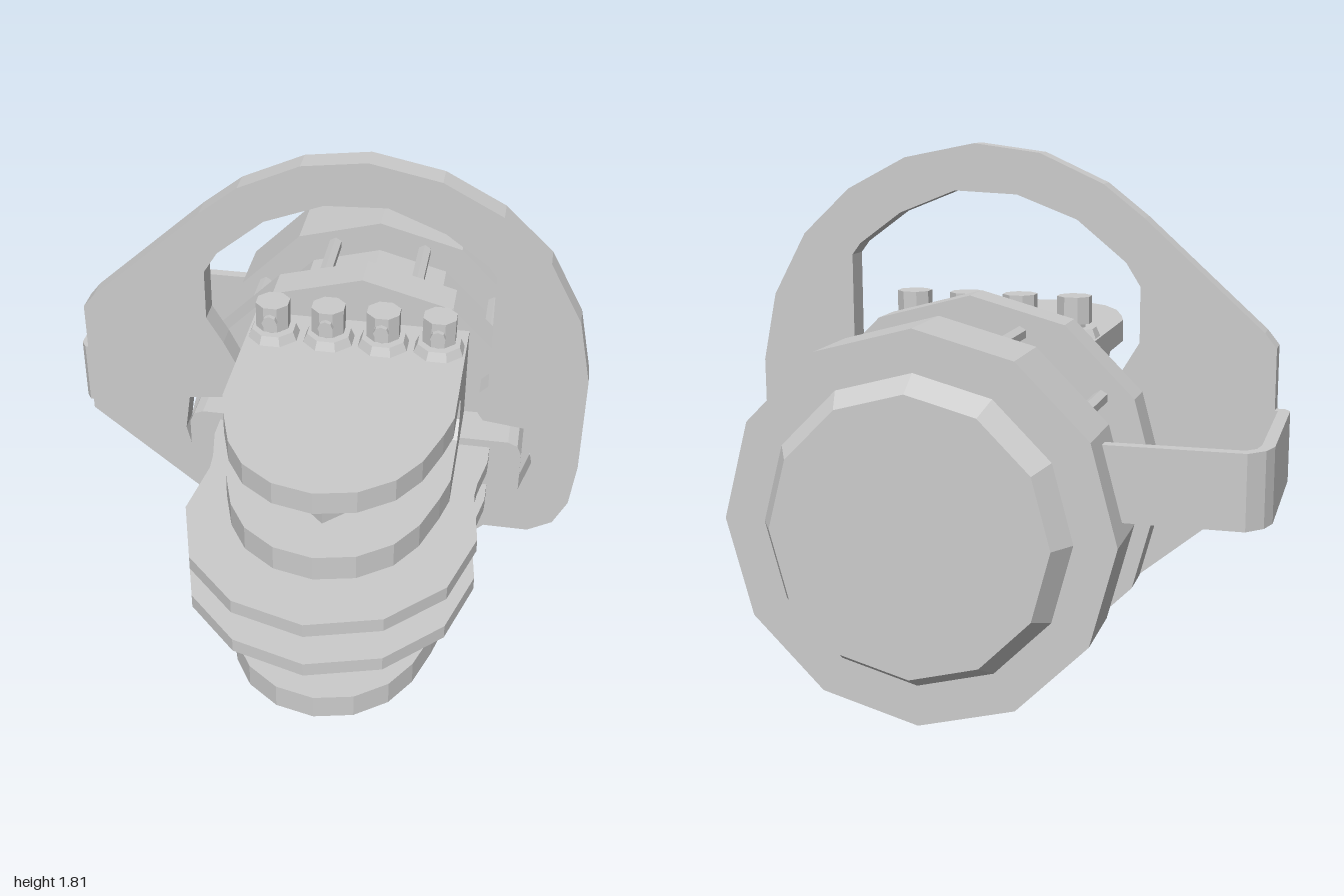
import * as THREE from 'three';

const CX = 0.115, CY = 0.655; // main axis of the drum

export function createModel() {
  const root = new THREE.Group();
  const mat = new THREE.MeshStandardMaterial({ color: 0xcccccc, flatShading: true });

  const add = (name, geo, x = 0, y = 0, z = 0, parent = root) => {
    const m = new THREE.Mesh(geo, mat);
    m.name = name;
    m.position.set(x, y, z);
    parent.add(m);
    return m;
  };
  const group = (name) => {
    const g = new THREE.Group();
    g.name = name;
    root.add(g);
    return g;
  };
  const extrude = (pts, depth) => new THREE.ExtrudeGeometry(
    new THREE.Shape(pts.map(p => new THREE.Vector2(p[0], p[1]))), { depth, bevelEnabled: false });
  // outline in (x, z), extruded upwards
  const slab = (pts, h) => extrude(pts.map(([x, z]) => [x, -z]), h).rotateX(-Math.PI / 2);
  // drum section along z between z0 (front) and z1 (back)
  const drum = (name, rFront, rBack, z0, z1) =>
    add(name, new THREE.CylinderGeometry(rFront, rBack, z0 - z1, 12).rotateX(Math.PI / 2), CX, CY, (z0 + z1) / 2);
  // half outline mirrored about the drum axis
  const mirrored = half => [
    ...half.map(([dx, z]) => [CX + dx, z]),
    ...half.slice().reverse().filter(p => p[0] > 0).map(([dx, z]) => [CX - dx, z])];

  // Drum
  drum('frontFlange', 0.655, 0.655, -0.19, -0.33);
  drum('drumCore', 0.52, 0.52, -0.32, -0.67);
  drum('rearDrum', 0.635, 0.635, -0.66, -0.92);
  drum('rearCap', 0.5, 0.45, -0.92, -1);

  // Tie rods around the core
  const rods = group('tieRods');
  for (let i = 0; i < 10; i++) {
    const a = i * Math.PI / 5;
    add('tieRod', new THREE.CylinderGeometry(0.026, 0.026, 0.36, 6).rotateX(Math.PI / 2),
      CX + 0.56 * Math.cos(a), CY + 0.56 * Math.sin(a), -0.495, rods);
  }

  // Loop-shaped handle plate
  add('handlePlate', extrude([
    [-0.9, 0.7], [-0.9, 1.15], [-0.86, 1.2], [-0.45, 1.57], [-0.31, 1.68], [-0.09, 1.78], [0.14, 1.81],
    [0.39, 1.76], [0.6, 1.65], [0.77, 1.49], [0.89, 1.27], [0.94, 1.03], [0.94, 0.65], [0.92, 0.48],
    [0.87, 0.38], [0.78, 0.33], [0.58, 0.33], [0.56, 0.36], [0.56, 0.47], [0.59, 0.5], [0.73, 0.52],
    [0.77, 0.65], [0.74, 0.8], [0.58, 0.82], [0.56, 0.85], [0.56, 0.94], [0.59, 0.97], [0.59, 1.42],
    [0.56, 1.46], [0.41, 1.57], [0.21, 1.65], [-0.01, 1.64], [-0.22, 1.56], [-0.39, 1.42], [-0.44, 1.34],
    [-0.44, 1.15], [-0.38, 1.05], [-0.33, 0.95], [-0.34, 0.83], [-0.36, 0.81], [-0.52, 0.79], [-0.54, 0.65],
    [-0.51, 0.52], [-0.36, 0.5], [-0.33, 0.47], [-0.33, 0.33], [-0.45, 0.33],
  ], 0.09), 0, 0, -0.19);

  // Bent strap from the plate to the rear drum
  add('sideStrap', slab([
    [-0.88, -0.15], [-0.93, -0.15], [-0.95, -0.18], [-0.95, -0.69], [-0.93, -0.75], [-0.88, -0.8],
    [-0.44, -0.8], [-0.44, -0.76], [-0.87, -0.76], [-0.9, -0.73], [-0.91, -0.68], [-0.91, -0.19], [-0.88, -0.19],
  ], 0.24), 0, 0.7, 0);

  // Four narrow fins
  const fin = mirrored([[0.39, -0.2], [0.39, 0.35], [0.365, 0.45], [0.315, 0.6], [0.245, 0.71], [0.135, 0.79], [0, 0.82]]);
  const fins = group('fins');
  for (const [y0, y1] of [[0.16, 0.25], [0.43, 0.53], [0.79, 0.88], [1.06, 1.14]])
    add('fin', slab(fin, y1 - y0), 0, y0, 0, fins);

  // Chamfered webs joining each pair of fins at the back
  for (const [y0, y1] of [[0.25, 0.43], [0.88, 1.06]]) {
    const web = extrude([[0.2, y0], [-0.12, y0], [-0.06, y0 + 0.05], [-0.06, y1 - 0.05], [-0.12, y1], [0.2, y1]], 0.78);
    add('finWeb', web.rotateY(Math.PI / 2), CX - 0.39, 0, 0, fins);
  }

  // Two longer waisted plates
  const plate = mirrored([[0.5, -0.15], [0.5, 0.07], [0.475, 0.2], [0.47, 0.27], [0.5, 0.5], [0.425, 0.75], [0.245, 0.93], [0, 1]]);
  const plates = group('longPlates');
  for (const y of [0.54, 0.71]) add('longPlate', slab(plate, 0.05), 0, y, 0, plates);

  // Cross bracket holding the long plates
  add('bracket', extrude([
    [-0.45, 0.53], [0.68, 0.53], [0.715, 0.545], [0.73, 0.58], [0.73, 0.74], [0.715, 0.775],
    [0.68, 0.79], [-0.45, 0.79], [-0.485, 0.775], [-0.5, 0.74], [-0.5, 0.58], [-0.485, 0.545],
  ], 0.18), 0, 0, -0.2);

  // Square shaft through all plates
  add('shaft', new THREE.CylinderGeometry(0.163, 0.163, 0.9, 4), CX, 0.65, 0.485);

  // Row of fittings on the top fin
  const fittings = group('fittings');
  for (const x of [-0.18, 0.018, 0.213, 0.41]) {
    add('fittingBase', new THREE.CylinderGeometry(0.08, 0.095, 0.035, 8).rotateY(Math.PI / 8), x, 1.155, -0.055, fittings);
    add('fittingNeck', new THREE.CylinderGeometry(0.04, 0.04, 0.04, 8), x, 1.185, -0.045, fittings);
    add('fittingBody', new THREE.CylinderGeometry(0.062, 0.062, 0.095, 8).rotateY(Math.PI / 8), x, 1.235, -0.045, fittings);
    add('fittingTip', new THREE.CylinderGeometry(0.027, 0.027, 0.06, 8).rotateX(Math.PI / 2), x, 1.232, 0, fittings);
  }

  return root;
}
